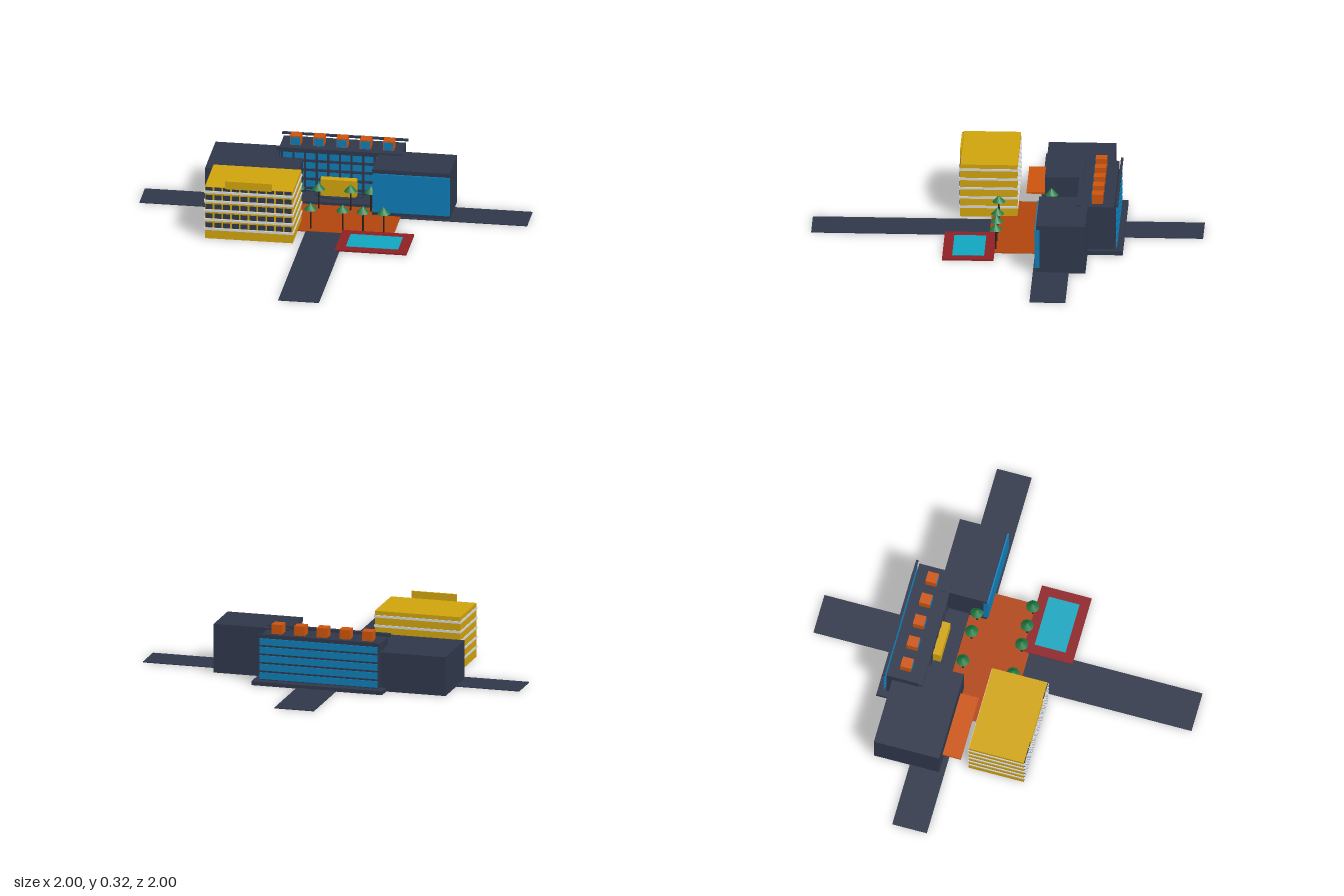
import * as THREE from 'three';

const mat = (name, color) => {
  const m = new THREE.MeshStandardMaterial({ color });
  m.name = name;
  return m;
};

export function createModel() {
  const slate = mat('slate', 0x2f374a), yellow = mat('yellow', 0xd0a30e), white = mat('white', 0xd6d8dc);
  const blue = mat('blue glass', 0x0e7cb6), orange = mat('orange', 0xcc540d), paving = mat('paving', 0xb0440e);
  const red = mat('red', 0x8e2024), water = mat('water', 0x11a5bf), green = mat('green', 0x1e7a42), bark = mat('bark', 0x2a2220);

  const root = new THREE.Group();
  root.name = 'campus';
  const group = (name) => {
    const g = new THREE.Group();
    g.name = name;
    root.add(g);
    return g;
  };
  // box given by its lower and upper limits on each axis
  const box = (parent, name, m, x0, x1, y0, y1, z0, z1) => {
    const b = new THREE.Mesh(new THREE.BoxGeometry(x1 - x0, y1 - y0, z1 - z0), m);
    b.position.set((x0 + x1) / 2, (y0 + y1) / 2, (z0 + z1) / 2);
    b.name = name;
    parent.add(b);
    return b;
  };

  // roads and paved ground
  const ground = group('ground');
  box(ground, 'frontRoad', slate, -0.105, 0.105, 0, 0.004, 0.09, 1);
  box(ground, 'backRoad', slate, -0.105, 0.105, 0, 0.004, -1, -0.6);
  box(ground, 'leftRoad', slate, 0.345, 1, 0, 0.004, -0.335, -0.152);
  box(ground, 'rightRoad', slate, -1, -0.35, 0, 0.004, -0.335, -0.152);
  box(ground, 'plaza', paving, -0.35, 0.345, 0.001, 0.005, -0.26, 0.09);

  // pool
  const pool = group('pool');
  box(pool, 'poolDeck', red, 0.08, 0.45, 0, 0.008, 0.055, 0.318);
  box(pool, 'poolWater', water, 0.13, 0.4, 0.007, 0.01, 0.105, 0.268);

  // main hall
  const hall = group('mainHall');
  box(hall, 'hallBase', slate, -0.35, 0.345, 0, 0.02, -0.6, -0.26);
  box(hall, 'hallBody', slate, -0.317, 0.313, 0.02, 0.25, -0.555, -0.385);
  box(hall, 'frontGlass', blue, -0.31, 0.306, 0.03, 0.245, -0.386, -0.379);
  for (let i = 0; i <= 10; i++) {
    const x = -0.3 + i * 0.06;
    box(hall, 'mullion', slate, x - 0.005, x + 0.005, 0.02, 0.25, -0.38, -0.37);
  }
  for (let i = 0; i < 5; i++) {
    const y = 0.045 + i * 0.05;
    box(hall, 'transom', slate, -0.315, 0.311, y - 0.006, y + 0.006, -0.38, -0.371);
  }
  box(hall, 'roofFrontEdge', slate, -0.327, 0.323, 0.248, 0.265, -0.385, -0.363);
  box(hall, 'roofBackEdge', slate, -0.327, 0.323, 0.254, 0.265, -0.575, -0.563);

  // horizontal louvres standing off the back wall
  for (let i = 0; i < 5; i++) {
    const y = 0.028 + i * 0.045;
    box(hall, 'backLouvre', blue, -0.315, 0.311, y, y + 0.034, -0.57, -0.564);
  }

  // rooftop light boxes, glazed to the front
  for (let i = -2; i <= 2; i++) {
    const x = i * 0.12;
    box(hall, 'roofLight', orange, x - 0.028, x + 0.028, 0.25, 0.3, -0.496, -0.439);
    box(hall, 'roofLightGlass', blue, x - 0.024, x + 0.024, 0.252, 0.293, -0.44, -0.437);
  }

  // entrance porch
  box(hall, 'entrance', yellow, -0.094, 0.09, 0.02, 0.115, -0.372, -0.33);
  const step = new THREE.Mesh(new THREE.CylinderGeometry(0.13, 0.13, 0.006, 24, 1, false, -Math.PI / 2, Math.PI), slate);
  step.name = 'entranceStep';
  step.scale.z = 0.5;
  step.position.set(0, 0.022, -0.365);
  hall.add(step);

  // side wing with a glazed front
  const wing = group('glazedWing');
  box(wing, 'wingBody', slate, 0.2, 0.598, 0, 0.24, -0.42, -0.186);
  box(wing, 'wingBase', slate, 0.198, 0.598, 0, 0.025, -0.42, -0.168);
  box(wing, 'wingRoof', slate, 0.198, 0.598, 0.235, 0.257, -0.42, -0.168);
  box(wing, 'wingGlass', blue, 0.202, 0.597, 0.025, 0.235, -0.187, -0.16);

  // plain low wing and its canopy
  const low = group('lowWing');
  box(low, 'lowBody', slate, -0.665, -0.19, 0, 0.205, -0.525, -0.18);
  box(low, 'canopy', orange, -0.6, -0.255, 0.086, 0.096, -0.18, -0.083);

  // yellow block with floor bands and windows
  const block = group('yellowBlock');
  box(block, 'blockBody', yellow, -0.6, -0.147, 0, 0.285, -0.042, 0.25);
  box(block, 'signPanel', yellow, -0.496, -0.255, 0.28, 0.322, 0.248, 0.256);
  for (let f = 0; f < 5; f++) {
    const y = 0.054 + f * 0.0508;
    box(block, 'floorBand', white, -0.604, -0.143, y - 0.006, y + 0.006, -0.046, 0.256);
    for (let i = 0; i < 10; i++) {
      const x = -0.578 + i * 0.0453;
      box(block, 'window', slate, x - 0.018, x + 0.018, y + 0.008, y + (f < 4 ? 0.034 : 0.026), 0.249, 0.253);
    }
  }

  // trees
  const trunkGeo = new THREE.CylinderGeometry(0.004, 0.005, 0.11, 6);
  const crownGeo = new THREE.ConeGeometry(0.034, 0.036, 10);
  const spots = [[-0.19, -0.215], [-0.085, -0.215], [0.08, -0.215], [0.185, -0.215],
    [-0.085, 0.05], [0.08, 0.05], [0.185, 0.05], [0.292, 0.05]];
  for (const [x, z] of spots) {
    const tree = group('tree');
    const trunk = new THREE.Mesh(trunkGeo, bark);
    trunk.name = 'trunk';
    trunk.position.y = 0.059;
    const crown = new THREE.Mesh(crownGeo, green);
    crown.name = 'crown';
    crown.position.y = 0.127;
    tree.add(trunk, crown);
    tree.position.set(x, 0, z);
  }
  return root;
}
